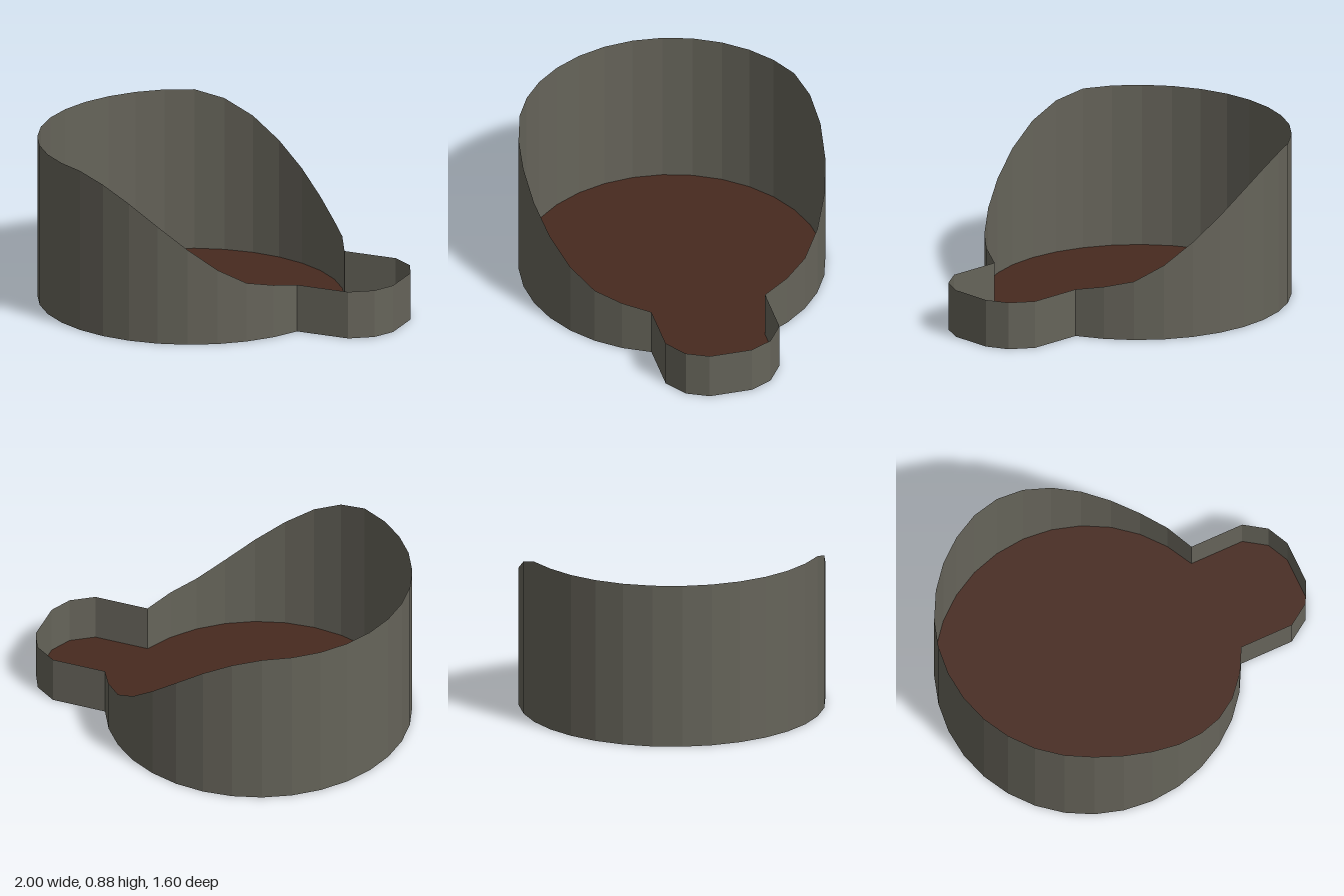
import * as THREE from 'three';

const RADIUS = 0.8, CENTRE_X = -0.2, STEP = Math.PI / 16;

// Rim heights from the back of the bowl (x = -1) round to the spout
const RIM = [0.875, 0.875, 0.875, 0.875, 0.875, 0.872, 0.83, 0.75, 0.64, 0.52, 0.405, 0.32, 0.285, 0.255];
// Spout outline (x, z) on one side
const SPOUT = [[0.83, 0.306], [0.945, 0.228], [1, 0.114]];

// Closed outline as points { x, z, h }: one half, then its mirror
function outline() {
  const half = [];
  for (let i = 1; i <= 14; i++) {
    const a = Math.PI - i * STEP;
    half.push({ x: CENTRE_X + RADIUS * Math.cos(a), z: RADIUS * Math.sin(a), h: RIM[Math.min(i, 13)] });
  }
  // heights are listed from the second facet, so align the last one with the spout
  half.forEach((p, i) => { p.h = RIM[i]; });
  for (const [x, z] of SPOUT) half.push({ x, z, h: 0.255 });
  const mirrored = half.map(p => ({ ...p, z: -p.z })).reverse();
  return [{ x: -1, z: 0, h: 0.875 }, ...half, ...mirrored];
}

// Upright sheet following the outline, with a varying top edge
function wallGeometry(points) {
  const pos = [];
  points.forEach((a, i) => {
    const b = points[(i + 1) % points.length];
    pos.push(a.x, 0, a.z, b.x, 0, b.z, b.x, b.h, b.z);
    pos.push(a.x, 0, a.z, b.x, b.h, b.z, a.x, a.h, a.z);
  });
  const geo = new THREE.BufferGeometry();
  geo.setAttribute('position', new THREE.Float32BufferAttribute(pos, 3));
  geo.computeVertexNormals();
  return geo;
}

export function createModel() {
  const group = new THREE.Group();
  group.name = 'scoopTray';
  const points = outline();

  // Thin wall, seen from inside and outside
  const wall = new THREE.Mesh(
    wallGeometry(points),
    new THREE.MeshStandardMaterial({ color: 0x66645a, flatShading: true, side: THREE.DoubleSide })
  );
  wall.name = 'wall';

  // Flat floor filling the bowl and the spout
  const shape = new THREE.Shape(points.map(p => new THREE.Vector2(p.x, -p.z)));
  const floor = new THREE.Mesh(
    new THREE.ShapeGeometry(shape).rotateX(-Math.PI / 2),
    new THREE.MeshStandardMaterial({ color: 0x472a1f, side: THREE.DoubleSide })
  );
  floor.name = 'floor';

  group.add(wall, floor);
  return group;
}
